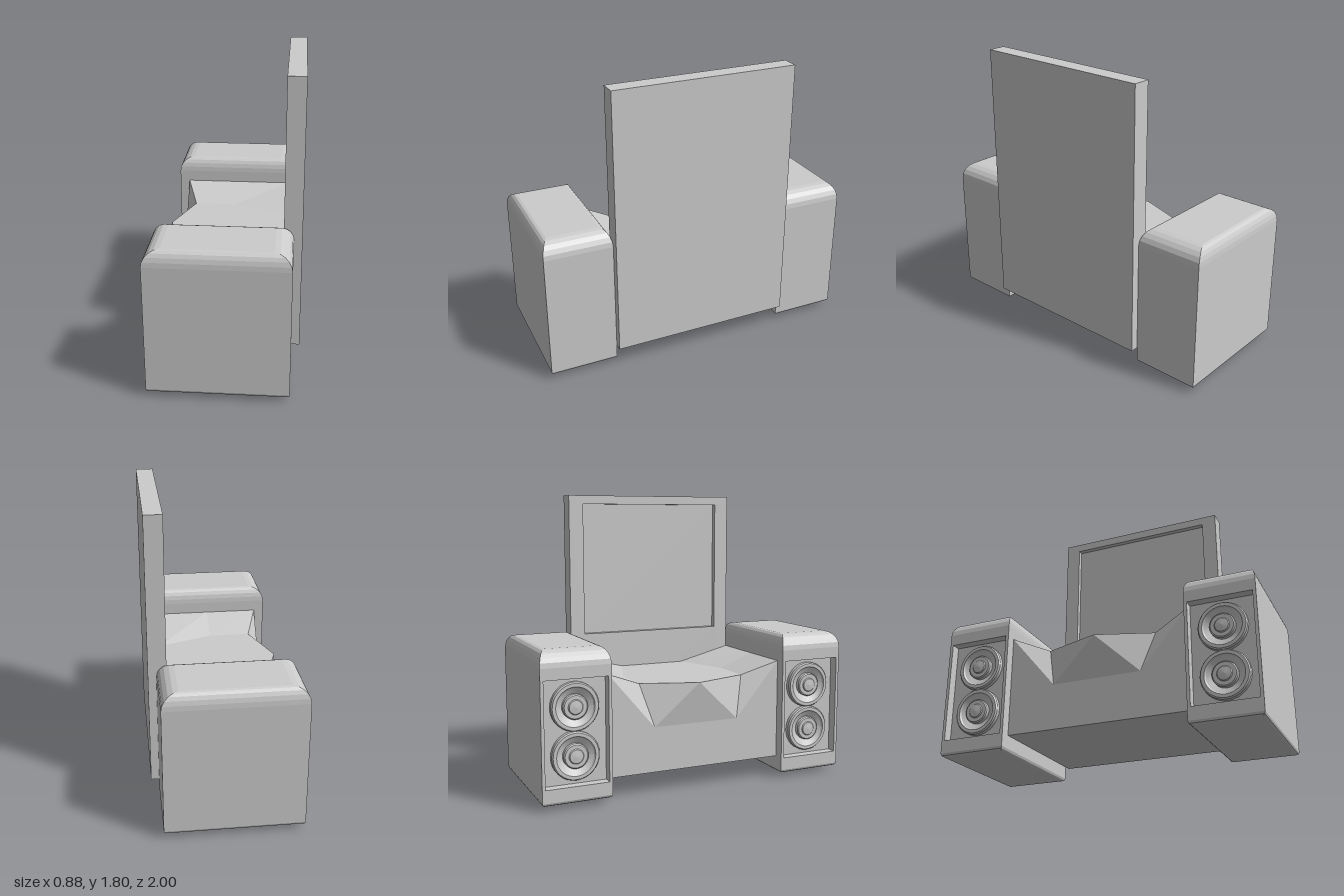
import * as THREE from 'three';

const grey = new THREE.MeshStandardMaterial({ color: 0xcccccc, flatShading: true });
const smooth = new THREE.MeshStandardMaterial({ color: 0xcccccc, side: THREE.DoubleSide });

// Mesh from convex polygons, each a list of [x, y, z] corners
function polygons(name, faces) {
  const pos = [];
  for (const f of faces)
    for (let i = 1; i < f.length - 1; i++) pos.push(...f[0], ...f[i], ...f[i + 1]);
  const g = new THREE.BufferGeometry();
  g.setAttribute('position', new THREE.Float32BufferAttribute(pos, 3));
  g.computeVertexNormals();
  const mesh = new THREE.Mesh(g, grey);
  mesh.name = name;
  return mesh;
}

// Quads between consecutive four-cornered rings; skip(level, side) leaves one out
function loft(name, rings, skip = () => false) {
  const faces = [];
  for (let r = 0; r < rings.length - 1; r++)
    for (let i = 0; i < 4; i++) {
      if (skip(r, i)) continue;
      const j = (i + 1) % 4, a = rings[r], b = rings[r + 1];
      faces.push([a[i], a[j], b[j]], [a[i], b[j], b[i]]);
    }
  return polygons(name, faces);
}

// Rectangles across the y axis and across the x axis
const ringY = (y, x0, x1, z0, z1) => [[x0, y, z0], [x0, y, z1], [x1, y, z1], [x1, y, z0]];
const ringX = (x, z0, z1, y0, y1) => [[x, y0, z0], [x, y0, z1], [x, y1, z1], [x, y1, z0]];

function makeSpeaker(name) {
  const group = new THREE.Group();
  group.name = name;
  const x0 = -0.44, x1 = 0.39, hz = 0.2125, yLow = 0.05, yHigh = 0.83;
  const ring = (y, ix, iz) => ringY(y, x0 + ix, x1 - ix, -hz + iz, hz - iz);

  // Cabinet: shallow pointed base, straight walls, rounded top
  const rings = [ring(0, 0.415, hz), ring(0.03, 0.02, 0.015), ring(0.037, 0.006, 0.005), ring(yLow, 0, 0)];
  const steps = 5;
  for (let i = 0; i <= steps; i++) {
    const t = (i / steps) * Math.PI / 2;
    rings.push(ring(yHigh + 0.097 * Math.sin(t), 0.1 * (1 - Math.cos(t)), 0.05 * (1 - Math.cos(t))));
  }
  rings.push(ring(yHigh + 0.097, 0.415, hz));
  group.add(loft('cabinet', rings, (r, side) => r === 3 && side === 0));

  // Recessed baffle filling the open wall
  const h = 0.193, back = x0 + 0.06, yMid = 0.445;
  group.add(loft('baffle', [
    ringX(x0, -hz, hz, yLow, yHigh),
    ringX(x0, -h, h, 0.13, 0.76),
    ringX(back, -h, h, 0.13, 0.76),
    ringX(back, 0, 0, yMid, yMid),
  ]));

  // Two round drivers: raised rim, sunken cone, centre cap
  const profile = [[0.145, 0], [0.145, 0.025], [0.138, 0.035], [0.118, 0.035], [0.11, 0.025],
    [0.075, 0.006], [0.075, 0.03], [0.068, 0.036], [0.045, 0.036], [0.04, 0.042], [0, 0.046]];
  const pts = [];
  profile.forEach((p, i) => {
    // doubled points keep the profile edges crisp
    pts.push(new THREE.Vector2(...p));
    if (i > 0 && i < profile.length - 1) pts.push(new THREE.Vector2(...p));
  });
  const driverGeo = new THREE.LatheGeometry(pts, 32);
  driverGeo.rotateZ(Math.PI / 2);
  driverGeo.computeVertexNormals();
  for (const y of [0.3, 0.59]) {
    const driver = new THREE.Mesh(driverGeo, smooth);
    driver.name = 'driver';
    driver.position.set(back, y, 0);
    group.add(driver);
  }
  return group;
}

// Faceted console: one half described, the other mirrored in z
function makeConsole() {
  const A = [-0.42, 0.67, 0], B = [-0.3, 0.67, 0.35], C = [-0.03, 0.67, 0.35], D = [0.33, 0.667, 0.22];
  const E = [0.33, 0.757, 0.575], F = [-0.375, 0.757, 0.575], K = [-0.03, 0.757, 0.575];
  const M = [0.33, 0.667, 0], N = [-0.03, 0.67, 0];
  const P = [-0.375, 0.41, 0.28], Q = [-0.375, 0.41, 0];
  const G = [-0.375, 0.13, 0.575], H = [0.33, 0.13, 0.575], I = [-0.375, 0.13, 0], J = [0.33, 0.13, 0];
  const half = [
    [A, B, C, N], [N, C, D, M], [F, K, C, B], [K, E, D, C], // top
    [F, B, P], [B, A, P], [A, Q, P], // bevelled nose
    [F, P, G], [P, Q, I], [P, I, G], // lower wall
    [G, H, E, K, F], [I, J, H, G], // end and underside
  ];
  const mirrored = half.map(f => f.map(([x, y, z]) => [x, y, -z]).reverse());
  return polygons('console', [...half, ...mirrored]);
}

export function createModel() {
  const model = new THREE.Group();
  model.name = 'mediaConsole';

  for (const s of [1, -1]) {
    const speaker = makeSpeaker(s > 0 ? 'frontSpeaker' : 'backSpeaker');
    speaker.position.z = s * 0.7875;
    model.add(speaker);
  }
  model.add(makeConsole());

  // Upright panel with a sunken screen
  const w = 0.575, sw = 0.48, xf = 0.33, xb = 0.44, depth = 0.035;
  model.add(loft('screenPanel', [
    ringX(xb, 0, 0, 0.97, 0.97),
    ringX(xb, -w, w, 0.13, 1.805),
    ringX(xf, -w, w, 0.13, 1.805),
    ringX(xf, -sw, sw, 0.9, 1.75),
    ringX(xf + depth, -sw, sw, 0.9, 1.75),
    ringX(xf + depth, 0, 0, 1.325, 1.325),
  ]));
  return model;
}
